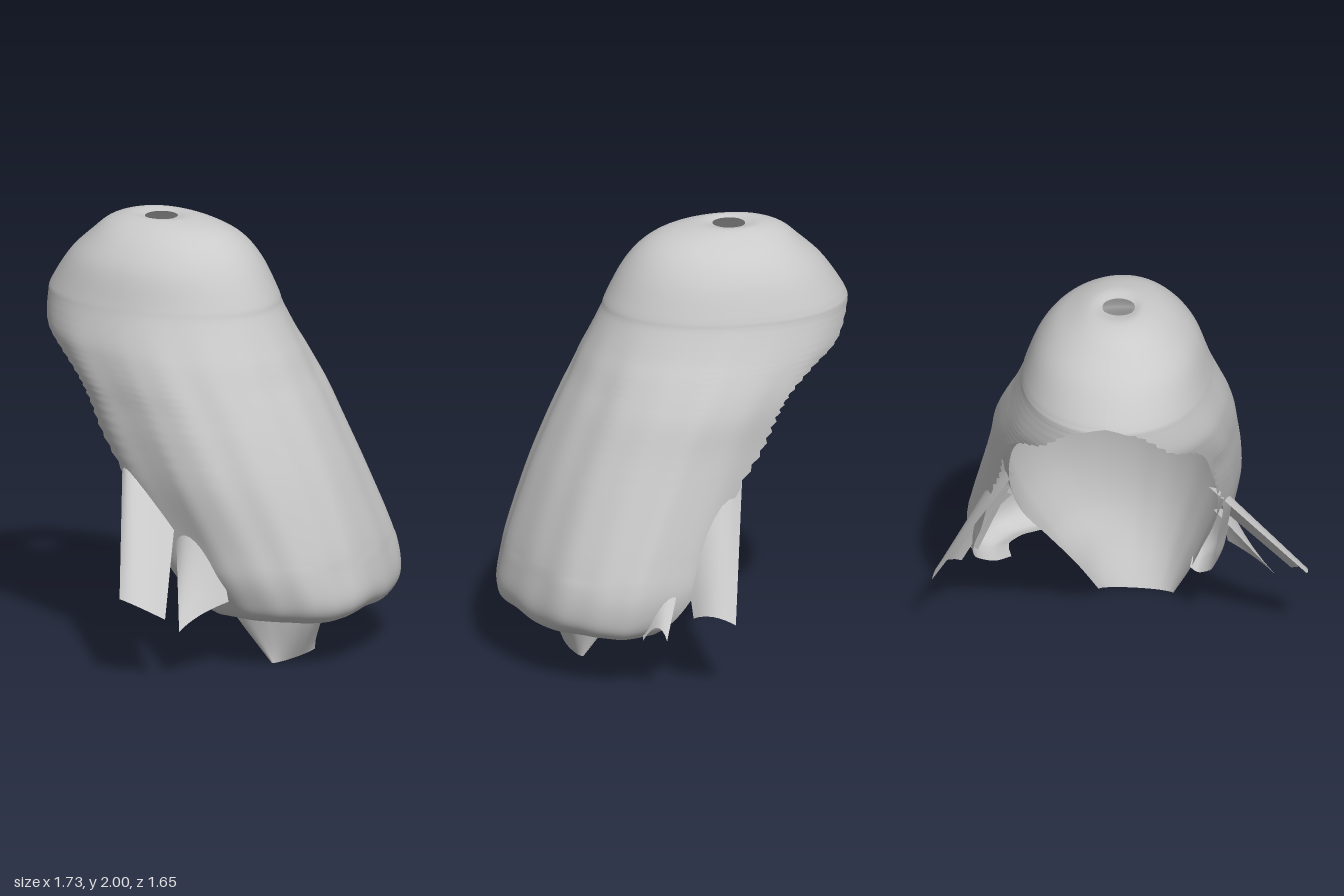
import * as THREE from 'three';

const hairGrey = new THREE.MeshStandardMaterial({ color: 0xcacaca, side: THREE.DoubleSide });
hairGrey.name = 'hairGrey';

// Smooth sheet through a grid of points: rows run downwards, columns left to right
function sheet(name, rows, cols, pointAt) {
  const pos = [], index = [];
  for (let r = 0; r <= rows; r++)
    for (let c = 0; c <= cols; c++) pos.push(...pointAt(r / rows, c / cols));
  for (let r = 0; r < rows; r++)
    for (let c = 0; c < cols; c++) {
      const i = r * (cols + 1) + c, j = i + cols + 1;
      index.push(i, j, i + 1, i + 1, j, j + 1);
    }
  const g = new THREE.BufferGeometry();
  g.setAttribute('position', new THREE.Float32BufferAttribute(pos, 3));
  g.setIndex(index);
  g.computeVertexNormals();
  const mesh = new THREE.Mesh(g, hairGrey);
  mesh.name = name;
  return mesh;
}

// Catmull-Rom blend of a table of cross-sections
function blend(table, t) {
  const f = t * (table.length - 1), i = Math.min(Math.floor(f), table.length - 2), k = f - i;
  const at = n => table[Math.max(0, Math.min(table.length - 1, n))];
  return at(i).map((b, n) => {
    const a = at(i - 1)[n], c = at(i + 1)[n], d = at(i + 2)[n];
    return b + 0.5 * k * (c - a + k * (2 * a - 5 * b + 4 * c - d + k * (3 * (b - c) + d - a)));
  });
}

// Point on an open ring: an oval with a squarer back, cut off behind the opening edge
const CENTRE = -0.03, SQUARE = 0.85;
function ringPoint([y, front, mid, back, edge, left, right], c, jag, ripple) {
  const cut = THREE.MathUtils.clamp((mid - edge) / (mid - back), 0, 1);
  const closed = edge <= back + 0.002;
  const limit = closed ? Math.PI : Math.PI / 2 + Math.asin(cut ** (1 / SQUARE)) - jag;
  const a = (c * 2 - 1) * limit, s = Math.sin(a), k = Math.cos(a);
  const wave = 1 + ripple * (Math.sin(a * 9 + 0.6) + 0.6 * Math.sin(a * 17 + y * 2));
  const x = CENTRE + s * wave * (s > 0 ? right - CENTRE : CENTRE - left);
  const z = k > 0 ? (front - mid) * k * wave : -(mid - back) * (-k) ** SQUARE;
  return [x, y, mid + z];
}

// Cross-sections: y, front z, widest z, virtual back z, opening edge z, -x side, +x side
const outerRows = [
  [1.988, -0.205, -0.28, -0.355, -0.355, -0.105, 0.045],
  [1.997, -0.12, -0.28, -0.44, -0.44, -0.15, 0.1],
  [1.965, 0.03, -0.26, -0.54, -0.54, -0.235, 0.18],
  [1.9, 0.14, -0.25, -0.62, -0.62, -0.32, 0.28],
  [1.8, 0.225, -0.25, -0.725, -0.725, -0.395, 0.355],
  [1.66, 0.3, -0.25, -0.82, -0.82, -0.445, 0.41],
  [1.6, 0.322, -0.24, -0.835, -0.8, -0.465, 0.425],
  [1.48, 0.38, -0.2, -0.83, -0.72, -0.51, 0.47],
  [1.4, 0.42, -0.15, -0.79, -0.58, -0.53, 0.505],
  [1.3, 0.465, -0.09, -0.72, -0.45, -0.545, 0.545],
  [1.2, 0.515, -0.03, -0.65, -0.38, -0.55, 0.575],
  [1.05, 0.585, 0.05, -0.58, -0.3, -0.555, 0.6],
  [0.85, 0.67, 0.15, -0.48, -0.15, -0.545, 0.645],
  [0.6, 0.76, 0.27, -0.36, -0.03, -0.5, 0.705],
  [0.45, 0.8, 0.33, -0.3, 0.06, -0.475, 0.735],
  [0.33, 0.82, 0.36, -0.22, 0.16, -0.43, 0.725],
  [0.26, 0.795, 0.38, -0.12, 0.24, -0.39, 0.69],
  [0.225, 0.73, 0.39, -0.05, 0.28, -0.34, 0.62],
  [0.24, 0.66, 0.4, 0.0, 0.3, -0.3, 0.55]
];
const innerRows = [
  [1.5, 0.36, -0.21, -0.83, -0.72, -0.49, 0.45],
  [1.35, 0.425, -0.13, -0.75, -0.5, -0.52, 0.5],
  [1.15, 0.5, -0.02, -0.62, -0.34, -0.53, 0.54],
  [0.9, 0.58, 0.11, -0.48, -0.15, -0.51, 0.53],
  [0.65, 0.63, 0.21, -0.32, 0.04, -0.45, 0.47],
  [0.42, 0.635, 0.29, -0.1, 0.22, -0.37, 0.36],
  [0.22, 0.59, 0.34, 0.1, 0.33, -0.295, 0.24],
  [0.0, 0.49, 0.46, 0.4, 0.46, -0.2, 0.145]
];

// Curved lock of hair from a root edge to a tip edge; each edge is three points
function lock(name, root, tip) {
  const edge = pts => new THREE.QuadraticBezierCurve3(...pts.map(p => new THREE.Vector3(...p)));
  const top = edge(root), end = edge(tip);
  return sheet(name, 6, 8, (r, c) => top.getPoint(c).lerp(end.getPoint(c), r).toArray());
}

export function createModel() {
  const model = new THREE.Group();
  model.name = 'hair';

  // Crown with its small round hole, flowing into a long drape with a ragged edge and curled hem
  const rows = 110;
  model.add(sheet('outerHair', rows, 96, (r, c) => {
    const row = blend(outerRows, r);
    const jag = Math.round(r * rows) % 2 && row[0] < 1.62 && row[0] > 0.9 ? 0.04 : 0;
    const point = ringPoint(row, c, jag, 0.008 * THREE.MathUtils.clamp((1.62 - row[0]) * 3, 0, 1));
    // Uneven hem
    if (row[0] < 0.5) point[1] += 0.008 * Math.sin(point[0] * 14);
    return point;
  }));

  // Inner layer behind the drape, narrowing into a lock that hangs below the hem
  model.add(sheet('innerLayer', 40, 48, (r, c) => ringPoint(blend(innerRows, r), c, 0, 0.004)));

  // Locks sticking out to the sides
  const locks = new THREE.Group();
  locks.name = 'sideLocks';
  locks.add(
    lock('rightLongLock', [[-0.44, 1.0, -0.21], [-0.58, 0.92, -0.1], [-0.46, 0.7, 0.1]],
      [[-0.865, 0.39, 0.07], [-0.88, 0.38, 0.17], [-0.77, 0.3, 0.26]]),
    lock('rightShortLock', [[-0.43, 0.7, 0.08], [-0.55, 0.66, 0.2], [-0.44, 0.55, 0.34]],
      [[-0.7, 0.23, 0.29], [-0.62, 0.3, 0.32], [-0.46, 0.34, 0.4]]),
    lock('leftShortLock', [[0.5, 0.72, 0.3], [0.63, 0.68, 0.18], [0.5, 0.75, 0.03]],
      [[0.7, 0.24, 0.32], [0.76, 0.38, 0.26], [0.83, 0.27, 0.24]]),
    lock('leftLongLock', [[0.52, 0.75, 0.1], [0.64, 0.95, -0.06], [0.46, 1.02, -0.22]],
      [[0.74, 0.34, 0.09], [0.85, 0.4, 0.03], [0.86, 0.33, -0.08]])
  );
  model.add(locks);
  return model;
}
